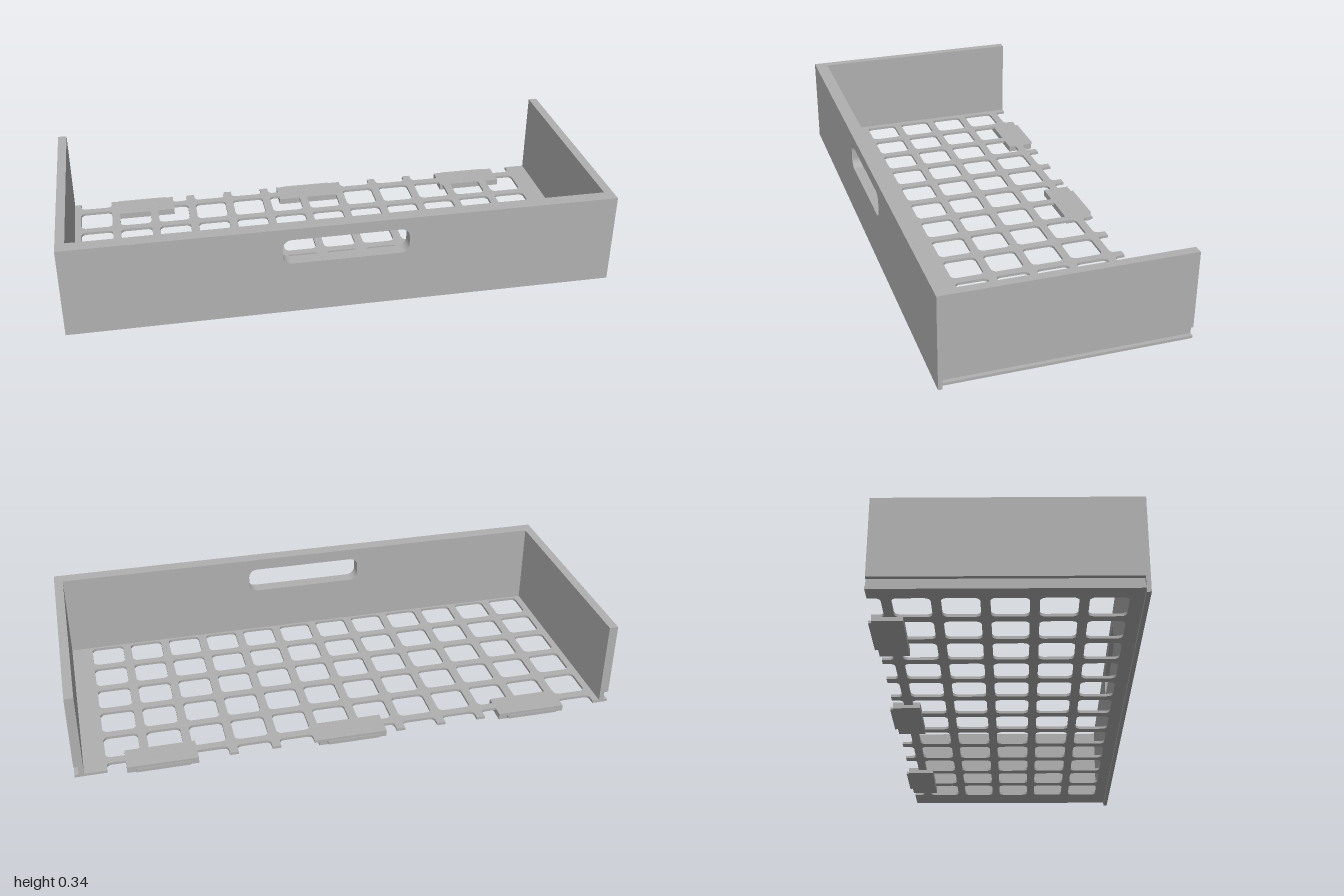
import * as THREE from 'three';

const BACK = -0.43, FRONT = 0.443, PLATE = 0.428, INNER = 0.393;
const FLOOR_Y = 0.014, FLOOR_TOP = 0.024, TOP = 0.344, WALL_X = 0.967;
const grey = new THREE.MeshStandardMaterial({ color: 0xb0b0b0 });
grey.name = 'plain grey';

function roundedRect(x0, y0, x1, y1, r) {
  const p = new THREE.Path();
  p.moveTo(x0 + r, y0);
  p.lineTo(x1 - r, y0);
  p.absarc(x1 - r, y0 + r, r, -Math.PI / 2, 0);
  p.absarc(x1 - r, y1 - r, r, 0, Math.PI / 2);
  p.absarc(x0 + r, y1 - r, r, Math.PI / 2, Math.PI);
  p.absarc(x0 + r, y0 + r, r, Math.PI, Math.PI * 1.5);
  return p;
}

function polygon(points) {
  return new THREE.Shape(points.map(([x, y]) => new THREE.Vector2(x, y)));
}

function extrude(shape, depth) {
  return new THREE.ExtrudeGeometry(shape, { depth, bevelEnabled: false, curveSegments: 5 });
}

export function createModel() {
  const group = new THREE.Group();
  const add = (name, geometry) => {
    const mesh = new THREE.Mesh(geometry, grey);
    mesh.name = name;
    group.add(mesh);
    return mesh;
  };

  // Lattice floor: drawn with shape y = -z, notched along its back edge
  const columns = 12, rows = 5, pitchX = 0.155, pitchZ = 0.154, hole = 0.123, r = 0.02;
  const holeX = (i) => -0.941 + i * pitchX;
  const floor = new THREE.Shape();
  floor.moveTo(-1, -PLATE);
  floor.lineTo(1, -PLATE);
  floor.lineTo(1, -BACK);
  const notch = 0.388;
  for (let i = columns - 1; i >= 0; i--) {
    const a = holeX(i), b = a + hole;
    floor.lineTo(b, -BACK);
    floor.lineTo(b, notch + r);
    floor.quadraticCurveTo(b, notch, b - r, notch);
    floor.lineTo(a + r, notch);
    floor.quadraticCurveTo(a, notch, a, notch + r);
    floor.lineTo(a, -BACK);
  }
  floor.lineTo(-1, -BACK);
  for (let i = 0; i < columns; i++) {
    for (let j = 0; j < rows; j++) {
      const y = -0.383 + j * pitchZ;
      floor.holes.push(roundedRect(holeX(i), y, holeX(i) + hole, y + hole, r));
    }
  }
  const floorGeometry = extrude(floor, FLOOR_TOP - FLOOR_Y);
  floorGeometry.rotateX(-Math.PI / 2);
  floorGeometry.translate(0, FLOOR_Y, 0);
  add('latticeFloor', floorGeometry);

  // Side walls with a groove along the outer foot
  const groove = 0.985;
  for (const s of [1, -1]) {
    const section = polygon([
      [s * WALL_X, FLOOR_TOP], [s * groove, FLOOR_TOP], [s * groove, 0.057],
      [s, 0.057], [s, TOP], [s * WALL_X, TOP],
    ]);
    const wall = extrude(section, PLATE - BACK);
    wall.translate(0, 0, BACK);
    add(s > 0 ? 'leftWall' : 'rightWall', wall);
  }

  // Front wall: full-width outer plate and inner panel, both cut by the handle slot
  const frontPanel = (name, halfWidth, bottom, z0, z1) => {
    const shape = polygon([[-halfWidth, bottom], [halfWidth, bottom], [halfWidth, TOP], [-halfWidth, TOP]]);
    shape.holes.push(roundedRect(-0.228, 0.203, 0.228, 0.3, 0.033));
    const geometry = extrude(shape, z1 - z0);
    geometry.translate(0, 0, z0);
    add(name, geometry);
  };
  frontPanel('frontPlate', 1, 0, PLATE, FRONT);
  frontPanel('frontInnerPanel', WALL_X, FLOOR_TOP, INNER, PLATE);

  // Three rear feet, each with a flared catch ridge
  for (const x of [-0.692, 0, 0.692]) {
    const tabTop = FLOOR_TOP - 0.0002;
    const tab = add('rearFoot', new THREE.BoxGeometry(0.254, tabTop, 0.102));
    tab.position.set(x, tabTop / 2, BACK + 0.051);
    const ridge = extrude(polygon([[0, 0.010], [0.013, 0.007], [0.013, 0.019], [0, 0.016]]), 0.192);
    ridge.rotateY(Math.PI / 2);
    ridge.translate(x - 0.096, 0, BACK);
    add('catchRidge', ridge);
  }
  return group;
}
